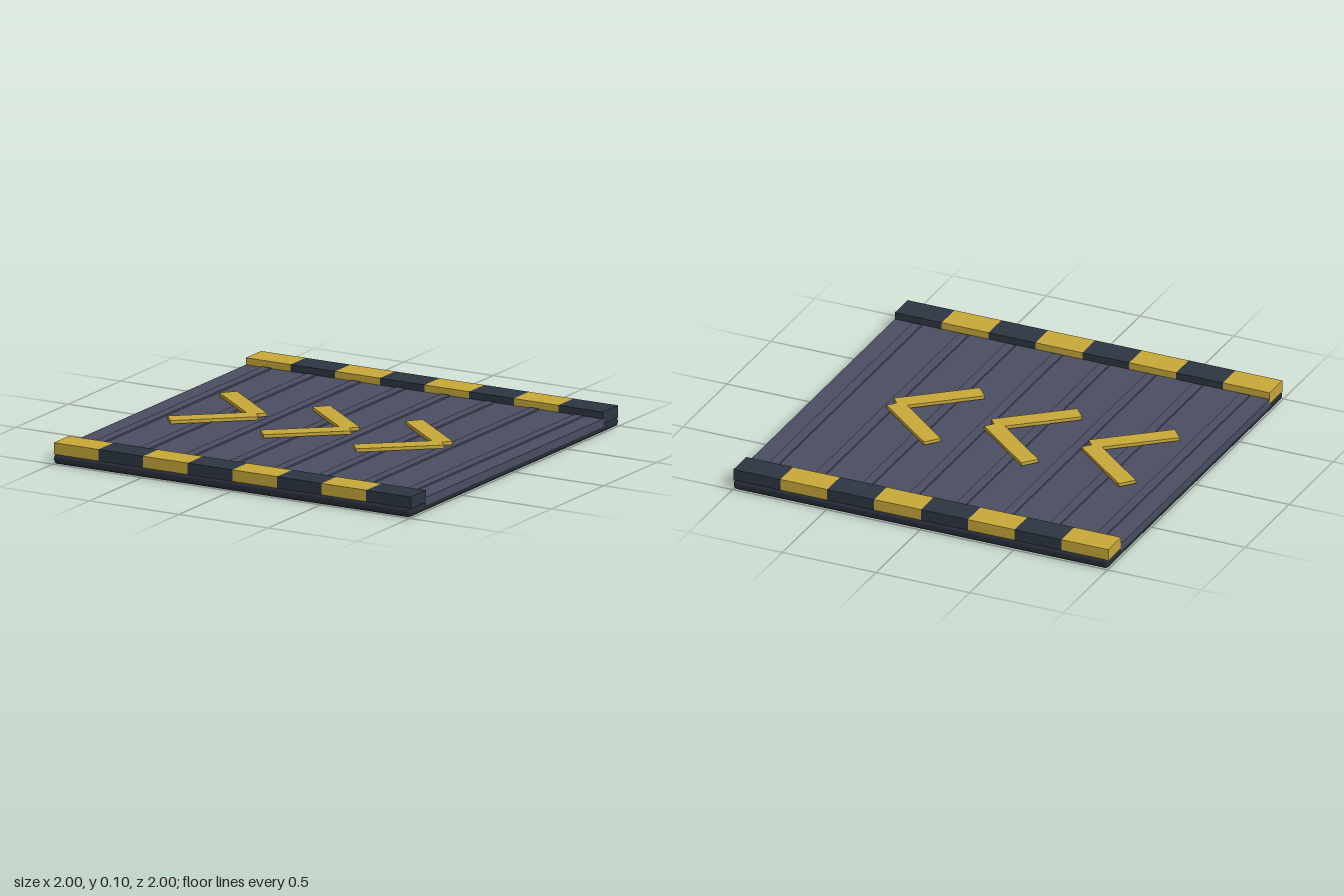
import * as THREE from 'three';
import { RoundedBoxGeometry } from 'three/addons/geometries/RoundedBoxGeometry.js';

function material(name, color) {
  const m = new THREE.MeshStandardMaterial({ color });
  m.name = name;
  return m;
}

export function createModel() {
  const model = new THREE.Group();
  model.name = 'boostPad';

  const baseDark = material('baseDark', 0x272d38);
  const curbDark = material('curbDark', 0x2d3741);
  const slate = material('slate', 0x4a4e62);
  const yellow = material('yellow', 0xc9a93a);

  function add(name, geometry, mat, x, y, z, parent = model) {
    const mesh = new THREE.Mesh(geometry, mat);
    mesh.name = name;
    mesh.position.set(x, y, z);
    parent.add(mesh);
    return mesh;
  }

  // Rounded foundation slab
  add('base', new RoundedBoxGeometry(2, 0.05, 2, 2, 0.02), baseDark, 0, 0.025, 0);

  // Deck between the curbs
  add('deck', new THREE.BoxGeometry(2, 0.04, 1.7), slate, 0, 0.05, 0);

  // Raised ribs across the deck
  const ribGeometry = new THREE.BoxGeometry(0.05, 0.02, 1.66);
  for (let i = 0; i < 8; i++) {
    add('rib', ribGeometry, slate, -0.875 + i * 0.25, 0.068, 0);
  }

  // Striped curbs along the front and back
  const curbGeometry = new THREE.BoxGeometry(0.25, 0.06, 0.145);
  for (const side of [1, -1]) {
    const curb = new THREE.Group();
    curb.name = side > 0 ? 'frontCurb' : 'backCurb';
    model.add(curb);
    for (let i = 0; i < 8; i++) {
      add('curbBlock', curbGeometry, i % 2 ? curbDark : yellow,
        -0.875 + i * 0.25, 0.075, side * 0.917, curb);
    }
  }

  // Three chevrons pointing to +x, each made of two mirrored bars
  const armGeometry = new THREE.BoxGeometry(0.43, 0.017, 0.09);
  const armAngle = THREE.MathUtils.degToRad(40);
  for (let i = 0; i < 3; i++) {
    const chevron = new THREE.Group();
    chevron.name = 'chevron';
    chevron.position.x = -0.605 + i * 0.52;
    model.add(chevron);
    for (const side of [1, -1]) {
      const arm = add('chevronArm', armGeometry, yellow, 0, 0.0865, side * 0.145, chevron);
      arm.rotation.y = side * armAngle;
    }
  }

  return model;
}
